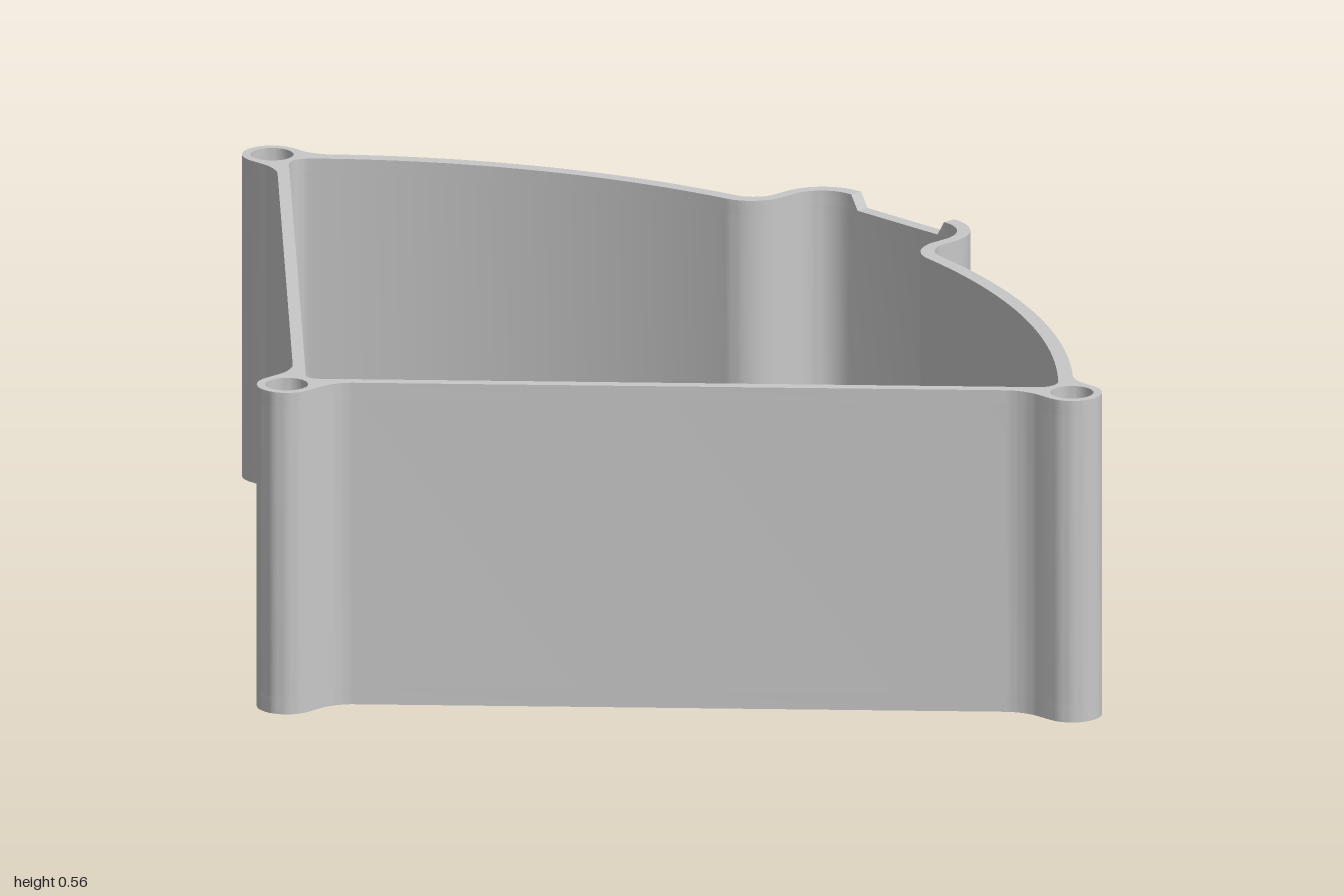
import * as THREE from 'three';
import { toCreasedNormals } from 'three/addons/utils/BufferGeometryUtils.js';

const H = 0.56, FLOOR = 0.03, NOTCH = 0.535, SLAB = 0.105;
const CX = -0.7; // centre of the curved wall

// Closed outline through [x, y, cut] points; cut is how far the corner is rounded back
function outline(pts, target = new THREE.Shape()) {
  const n = pts.length;
  const toward = (a, b, d) => {
    const l = Math.hypot(b[0] - a[0], b[1] - a[1]);
    return [a[0] + (b[0] - a[0]) * d / l, a[1] + (b[1] - a[1]) * d / l];
  };
  pts.forEach((p, i) => {
    const cut = p[2] || 0;
    const prev = pts[(i + n - 1) % n], next = pts[(i + 1) % n];
    const a = cut ? toward(p, prev, cut) : p;
    if (i === 0) target.moveTo(a[0], a[1]);
    else target.lineTo(a[0], a[1]);
    if (cut) {
      const b = toward(p, next, cut);
      const c1 = toward(p, prev, cut * 0.45), c2 = toward(p, next, cut * 0.45);
      target.bezierCurveTo(c1[0], c1[1], c2[0], c2[1], b[0], b[1]);
    }
  });
  return target;
}

// Points on an arc around the sector centre, angles in degrees
function arc(r, from, to, steps) {
  return Array.from({ length: steps + 1 }, (_, i) => {
    const t = THREE.MathUtils.degToRad(from + (to - from) * i / steps);
    return [CX + r * Math.cos(t), r * Math.sin(t)];
  });
}

const mirror = (pts) => pts.map(([x, y, c]) => [x, -y, c]).reverse();

// Both halves of a symmetric outline, running counter-clockwise
const whole = (half) => [...half, ...mirror(half)].reverse();

// Upright extrusion between two heights
function extrude(shape, y0, y1) {
  const g = new THREE.ExtrudeGeometry(shape, { depth: y1 - y0, bevelEnabled: false, curveSegments: 10 });
  g.rotateX(-Math.PI / 2);
  g.translate(0, y0, 0);
  return g;
}

export function createModel() {
  const group = new THREE.Group();
  const grey = new THREE.MeshStandardMaterial({ color: 0xc8c8c8 });
  grey.name = 'grey';
  const add = (name, geometry) => {
    const mesh = new THREE.Mesh(toCreasedNormals(geometry, 0.5), grey);
    mesh.name = name;
    group.add(mesh);
  };

  // Half outlines, from the apex to the outer bump
  const outer = [
    [-0.75, 0.05, 0.0495], [-0.636, 0.05, 0.03], [0.15, 0.887, 0.03],
    [0.15, 1, 0.0495], [0.25, 1, 0.0495], [0.25, 0.902, 0.025],
    ...arc(1.31, 41.5, 10.8, 24),
    [0.597, 0.2, 0.04], [0.75, 0.2, 0.085],
  ];
  const inner = [
    [0.204, 0.915, 0.035],
    ...arc(1.285, 43, 10.9, 24),
    [0.572, 0.18, 0.06], [0.727, 0.18, 0.065],
  ];
  const apex = [-0.655, 0, 0.02];

  // Screw holes in the three corner bosses
  const screwHoles = () => [[-0.7, 0], [0.2, 0.95], [0.2, -0.95]].map(([x, y]) =>
    new THREE.Path().absarc(x, y, 0.036, 0, Math.PI * 2, true));

  // Floor
  add('floor', extrude(outline(whole(outer)), 0, FLOOR));

  // Walls up to the notch
  const wall = outline(whole(outer));
  wall.holes.push(outline([apex, ...inner, ...mirror(inner)], new THREE.Path()), ...screwHoles());
  add('walls', extrude(wall, FLOOR, NOTCH));

  // Top of the walls, left open at the notch in the bump
  const rim = outline([
    [0.75, 0.11], ...[...outer].reverse(), ...mirror(outer).reverse(), [0.75, -0.11],
    [0.727, -0.11], ...mirror(inner), apex, ...inner, [0.727, 0.11],
  ]);
  rim.holes.push(...screwHoles());
  const rimGeometry = extrude(rim, NOTCH, H);
  // Slope the notch ends inward towards the bottom
  const pos = rimGeometry.attributes.position;
  for (let i = 0; i < pos.count; i++) {
    const z = pos.getZ(i);
    if (pos.getX(i) > 0.7 && Math.abs(z) < 0.112 && pos.getY(i) < NOTCH + 0.01) pos.setZ(i, Math.sign(z) * 0.095);
  }
  add('rim', rimGeometry);

  // Raised sector on the floor
  const half = [[0.056, 0.757, 0.03], ...arc(1.07, 43, 1, 24)];
  add('raisedFloor', extrude(outline([apex, ...half, ...mirror(half)]), FLOOR, SLAB));

  return group;
}
